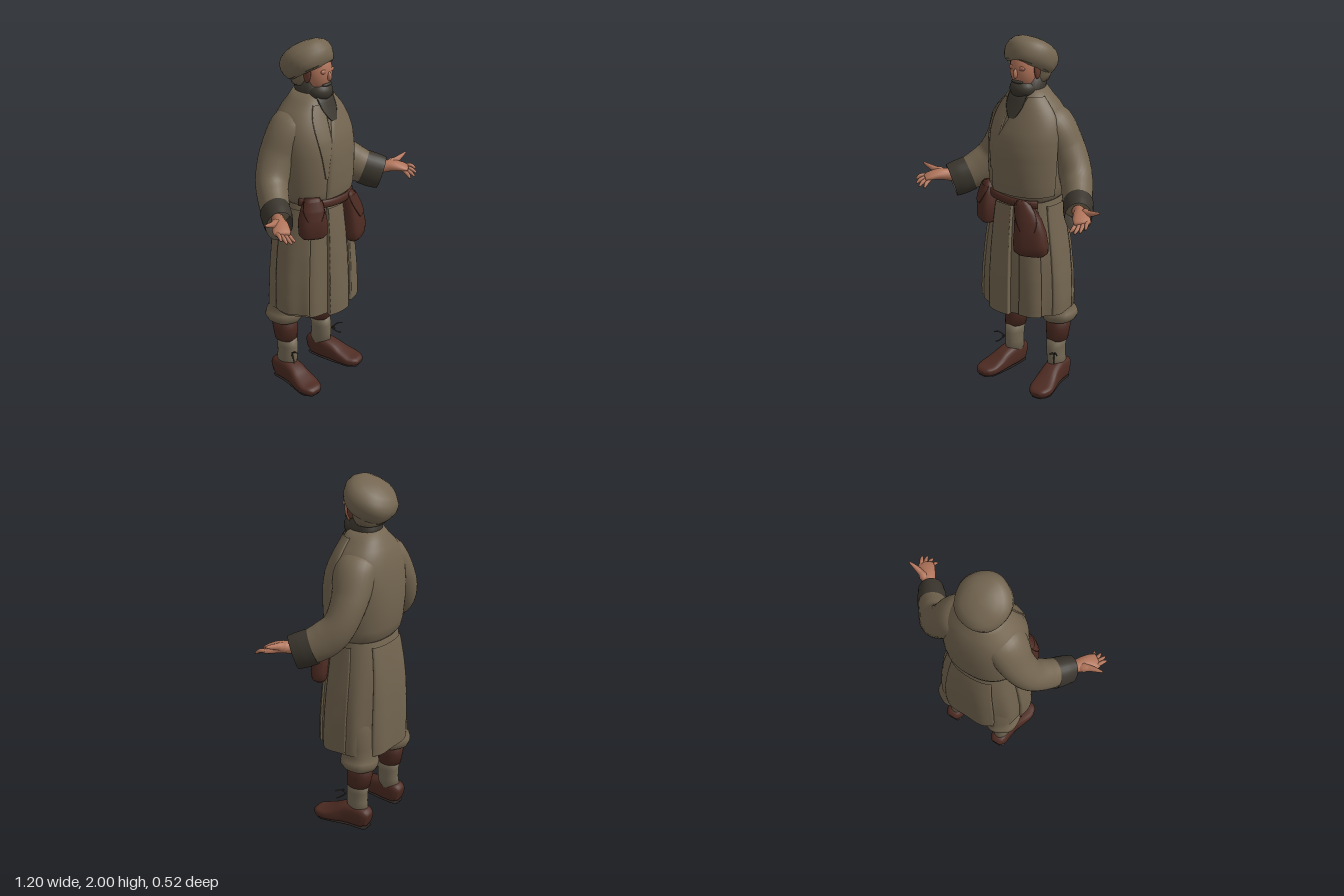
import * as THREE from 'three';

const mat = (name, color) => {
  const m = new THREE.MeshStandardMaterial({ color, side: THREE.DoubleSide });
  m.name = name;
  return m;
};
const V = (x, y, z) => new THREE.Vector3(x, y, z);

// Surface through rows of points; closed rows wrap around, capped ends get a centre point
function skin(rows, closed = true, caps = true) {
  const n = rows[0].length, pos = [], idx = [];
  rows.forEach(r => r.forEach(p => pos.push(p.x, p.y, p.z)));
  for (let i = 0; i < rows.length - 1; i++)
    for (let j = 0; j < (closed ? n : n - 1); j++) {
      const k = (j + 1) % n, a = i * n + j, b = i * n + k, c = b + n, d = a + n;
      idx.push(a, b, c, a, c, d);
    }
  if (closed && caps) [0, rows.length - 1].forEach((r, end) => {
    const c = rows[r].reduce((s, p) => s.add(p), V(0, 0, 0)).divideScalar(n);
    const ci = pos.length / 3;
    pos.push(c.x, c.y, c.z);
    for (let j = 0; j < n; j++) {
      const a = r * n + j, b = r * n + (j + 1) % n;
      if (end) idx.push(ci, a, b); else idx.push(ci, b, a);
    }
  });
  const g = new THREE.BufferGeometry();
  g.setAttribute('position', new THREE.Float32BufferAttribute(pos, 3));
  g.setIndex(idx);
  g.computeVertexNormals();
  return g;
}

const spow = (v, e) => Math.sign(v) * Math.abs(v) ** e;
// Point on a body given by stations [x, y, z, rx, rz], at angle t (0 = front, + = left)
function bodyPoint(st, y, t, off = 0, fold = null, e = 0.87) {
  let i = 0;
  while (i < st.length - 2 && y > st[i + 1][1]) i++;
  const f = (y - st[i][1]) / (st[i + 1][1] - st[i][1]);
  const [x, , z, rx, rz] = st[i].map((v, k) => v + (st[i + 1][k] - v) * f);
  const m = fold ? fold(t, y) : 1;
  return V(x + (rx * m + off) * spow(Math.sin(t), e), y, z + (rz * m + off) * spow(Math.cos(t), e));
}
const body = (st, { n = 40, fold = null, caps = true, e = 0.87 } = {}) =>
  skin(st.map(s => Array.from({ length: n }, (_, j) => bodyPoint(st, s[1], j / n * Math.PI * 2, 0, fold, e))), true, caps);
// Cloth panel lying on a body between two angles that may change with height; its side edges tuck in
function panel(st, y0, y1, tA, tB, off, fold = null, n = 18) {
  const rows = [];
  for (let i = 0; i <= 18; i++) {
    const f = i / 18, y = y0 + (y1 - y0) * f;
    const a = typeof tA === 'function' ? tA(f) : tA, b = typeof tB === 'function' ? tB(f) : tB;
    rows.push(Array.from({ length: n + 3 }, (_, j) => {
      const k = Math.min(n, Math.max(0, j - 1));
      return bodyPoint(st, y, a + (b - a) * k / n, j === 0 || j === n + 2 ? -.004 : off, fold);
    }));
  }
  return skin(rows, false);
}

// Limb along stations [x, y, z, a, b]; a = half height, b = half width
function limb(st, { n = 20, steps = 16, caps = true, e = 1 } = {}) {
  const path = new THREE.CatmullRomCurve3(st.map(s => V(s[0], s[1], s[2])));
  const size = new THREE.CatmullRomCurve3(st.map(s => V(s[3], s[4], 0)));
  const rows = [];
  for (let i = 0; i <= steps; i++) {
    const f = i / steps, p = path.getPoint(f), s = size.getPoint(f), d = path.getTangent(f);
    const v = V(0, 1, 0).cross(d).normalize(), u = v.clone().cross(d);
    rows.push(Array.from({ length: n }, (_, j) => {
      const t = j / n * Math.PI * 2;
      return p.clone().addScaledVector(u, s.x * spow(Math.cos(t), e)).addScaledVector(v, s.y * spow(Math.sin(t), e));
    }));
  }
  return skin(rows, true, caps);
}

export function createModel() {
  const root = new THREE.Group();
  root.name = 'robedMan';
  const cloth = mat('robe cloth', 0x736550), dark = mat('dark cloth', 0x3a352d), leather = mat('brown leather', 0x4d2b22),
    flesh = mat('skin', 0xb0745a), flush = mat('ruddy skin', 0xa56a54), hair = mat('brown hair', 0x673d2f),
    sockMat = mat('sock cloth', 0x766a56), soleMat = mat('dark sole', 0x2c2421);
  const add = (name, geo, m, parent = root) => {
    const mesh = new THREE.Mesh(geo, m);
    mesh.name = name;
    parent.add(mesh);
    return mesh;
  };
  const ball = (name, m, x, y, z, sx, sy, sz) => {
    const b = add(name, new THREE.SphereGeometry(1, 24, 16), m);
    b.position.set(x, y, z);
    b.scale.set(sx, sy, sz);
    return b;
  };

  // Skirt with folds that deepen towards the hem
  const skirt = [[0, .495, -.045, .258, .204], [0, .57, -.046, .26, .205], [0, .7, -.048, .254, .203], [0, .85, -.05, .237, .197],
    [0, .97, -.05, .218, .187], [0, 1.08, -.048, .2, .172], [0, 1.17, -.045, .185, .155]];
  const fold = (t, y) => 1 + .025 * Math.cos(9 * t + .6) * Math.min(1, Math.max(0, (1.15 - y) / .6));
  add('skirt', body(skirt, { n: 96, fold, caps: false }), cloth);
  [[-.36, .1, .49, .024], [.3, .85, .495, .01], [-1.75, -.85, .51, .012], [1.15, 1.8, .5, .01], [2.5, 3.75, .485, .008]]
    .forEach(([a, b, y, o]) => add('skirtPanel', panel(skirt, y, 1.12, a, b, o, fold), cloth));

  // Upper robe, bloused over the waist
  const torso = [[0, 1.14, -.04, .185, .16], [0, 1.17, -.042, .208, .18], [0, 1.22, -.045, .216, .19], [0, 1.32, -.048, .222, .196],
    [0, 1.42, -.05, .226, .194], [0, 1.5, -.054, .224, .182], [0, 1.56, -.06, .212, .165], [0, 1.61, -.064, .19, .147],
    [0, 1.65, -.064, .16, .13], [0, 1.69, -.06, .12, .11], [0, 1.73, -.06, .088, .088]];
  add('upperRobe', body(torso, { n: 56 }), cloth);
  const edge = f => f < .84 ? -.42 + .42 * (f / .84) ** 2 : (f - .84) * 3;
  add('overlappingFront', panel(torso, 1.18, 1.7, edge, 1.35, .01), cloth);
  add('innerLapel', panel(torso, 1.3, 1.68, f => -.46 - f * .25, f => -.25 + f * .1, .008), cloth);
  add('undershirt', panel(torso, 1.59, 1.72, f => -.06 - .5 * f, f => .06 + .42 * f, .012), dark);

  // Belt and pouches
  const belt = [];
  for (let i = 0; i <= 12; i++) {
    const t = -1.25 + i / 12 * 2.1, p = bodyPoint(torso, 1.17, t, .004);
    belt.push([p.x, 1.155 - .014 * t - .008 * Math.cos(t * 1.3), p.z, .023, .012]);
  }
  add('belt', limb(belt, { n: 12, steps: 32 }), leather);
  const pouch = (name, st, x, z, turn) => {
    const g = new THREE.Group();
    g.name = name;
    g.position.set(x, 0, z);
    g.rotation.y = turn;
    root.add(g);
    add('pouchBag', body(st, { n: 28, e: .75 }), leather, g);
    const top = st[st.length - 1][1], low = st[0][1];
    add('pouchFlap', panel(st, low + (top - low) * .5, top - .01, f => -.4 - f, f => .4 + f, .007), leather, g);
  };
  pouch('largePouch', [[.01, .865, .01, .07, .03], [.01, .885, .01, .093, .046], [.008, .93, .008, .095, .054], [.002, 1.0, 0, .086, .05],
    [-.01, 1.06, -.005, .074, .042], [-.026, 1.11, -.01, .056, .034], [-.045, 1.16, -.014, .03, .024]], .142, .125, .4);
  pouch('smallPouch', [[0, .98, .008, .06, .035], [0, 1.0, .008, .076, .05], [0, 1.07, .004, .078, .054], [0, 1.14, 0, .064, .043],
    [0, 1.2, -.005, .04, .026]], -.172, .095, -.65);

  // Neck, head and beard
  add('neck', body([[0, 1.66, -.05, .085, .085], [0, 1.72, -.05, .08, .085], [0, 1.8, -.06, .086, .088]], { n: 28 }), dark);
  add('headCloth', body([[0, 1.765, -.08, .086, .073], [0, 1.8, -.08, .1, .078], [0, 1.85, -.08, .114, .08], [0, 1.91, -.08, .118, .085]], { n: 32 }), cloth);
  ball('face', flesh, 0, 1.835, -.012, .077, .115, .08);
  ball('nose', flesh, 0, 1.822, .064, .012, .026, .018).rotation.x = -.25;
  ball('beard', dark, 0, 1.732, .002, .073, .056, .07);
  ball('moustache', dark, 0, 1.776, .052, .036, .01, .016);
  for (const s of [-1, 1]) {
    ball('ear', hair, s * .08, 1.84, -.015, .012, .05, .024);
    ball('eyeSocket', flush, s * .03, 1.85, .055, .022, .012, .01);
  }

  // Wrapped hat, tilted back
  const hat = add('hat', body([[0, -.066, 0, .08, .08], [0, -.075, 0, .106, .108], [0, -.06, 0, .128, .13], [0, -.033, 0, .139, .142],
    [0, 0, 0, .142, .15], [0, .03, 0, .135, .143], [0, .055, 0, .116, .123], [0, .073, 0, .085, .089], [0, .083, 0, .045, .045], [0, .086, 0, .01, .01]],
  { n: 40, e: 1, fold: (t, y) => 1 + .014 * Math.cos(5 * t + y * 30) }), cloth);
  hat.position.set(-.008, 1.892, -.079);
  hat.rotation.x = -.54;

  for (const s of [-1, 1]) {
    const side = s > 0 ? 'left' : 'right';
    const m = st => st.map(([x, ...r]) => [x * s, ...r]);
    const part = (name, st, material, opt) => add(side + name, limb(m(st), opt), material);
    const upright = (name, st, material, opt) => add(side + name, body(m(st), opt), material);

    // Arm with a wide sleeve and turned cuff
    part('Sleeve', [[.06, 1.6, -.07, .06, .09], [.14, 1.54, -.088, .1, .115], [.216, 1.41, -.106, .092, .1], [.282, 1.285, -.088, .092, .088],
      [.33, 1.215, -.038, .1, .082], [.382, 1.168, .026, .094, .075]], cloth, { n: 28, steps: 30 });
    part('Cuff', [[.374, 1.175, .012, .1, .08], [.404, 1.157, .053, .101, .078], [.436, 1.141, .094, .096, .07]], dark, { n: 28, steps: 8, caps: false });
    // Hand, palm up
    part('Palm', [[.4, 1.155, .05, .032, .034], [.445, 1.172, .095, .033, .032], [.485, 1.18, .14, .03, .042], [.52, 1.172, .18, .021, .046],
      [.538, 1.165, .203, .012, .04]], flesh, { n: 16, steps: 16 });
    [[.557, .185, .578, .228, 1.155], [.544, .197, .558, .248, 1.14], [.528, .205, .53, .257, 1.13], [.51, .208, .497, .25, 1.127]].forEach(([x, z, tx, tz, y]) =>
      part('Finger', [[x - .012, 1.168, z - .02, .011, .012], [(x + tx) / 2, y + .016, (z + tz) / 2, .011, .011], [tx, y, tz, .006, .006]], flesh, { n: 8, steps: 6 }));
    part('Thumb', [[.465, 1.178, .11, .018, .018], [.52, 1.196, .13, .018, .018], [.565, 1.21, .138, .012, .012], [.6, 1.222, .141, .005, .005]], flesh, { n: 10, steps: 9 });

    // Breeches gathered below the knee
    upright('Breeches', [[.15, .385, -.13, .075, .078], [.154, .395, -.128, .09, .096], [.155, .425, -.126, .106, .11], [.153, .45, -.125, .1, .106],
      [.15, .475, -.123, .084, .098], [.146, .53, -.115, .094, .108], [.13, .64, -.09, .118, .13], [.12, .85, -.06, .11, .13]], cloth,
    { n: 28, e: 1, fold: t => 1 + .02 * Math.cos(6 * t) });
    upright('LegWrap', [[.152, .265, -.118, .058, .067], [.15, .34, -.126, .068, .073], [.15, .42, -.13, .072, .075]], leather, { n: 24, e: 1 });
    upright('Sock', [[.155, .09, -.115, .047, .066], [.152, .16, -.108, .046, .064], [.15, .22, -.108, .049, .065], [.152, .28, -.118, .056, .066]], sockMat, { n: 24, e: 1 });

    // Shoe with flat sole
    part('Shoe', [[.158, .056, -.194, .042, .032], [.158, .064, -.165, .062, .05], [.16, .068, -.1, .066, .054], [.168, .06, -.04, .058, .056], [.18, .044, .02, .042, .064],
      [.192, .032, .08, .03, .068], [.198, .027, .125, .025, .052], [.2, .022, .144, .014, .03]], leather, { n: 24, steps: 28, e: .65 });
    part('Sole', [[.158, .003, -.186, .003, .03], [.158, .003, -.165, .003, .042], [.162, .003, -.08, .003, .046], [.18, .003, .02, .003, .056],
      [.193, .003, .085, .003, .06], [.199, .003, .136, .003, .028]], soleMat, { n: 16, steps: 20, e: .5 });
    // Laces
    [[.23, .215, -.012], [.215, .16, -.008], [.172, .2, -.02]].forEach(([x, y, z]) =>
      part('Lace', [[.18, .19, -.052], [(x + .185) / 2, y + .004, z - .014], [x, y, z]].map(p => [...p, .004, .004]), dark, { n: 6, steps: 6 }));
  }
  return root;
}
